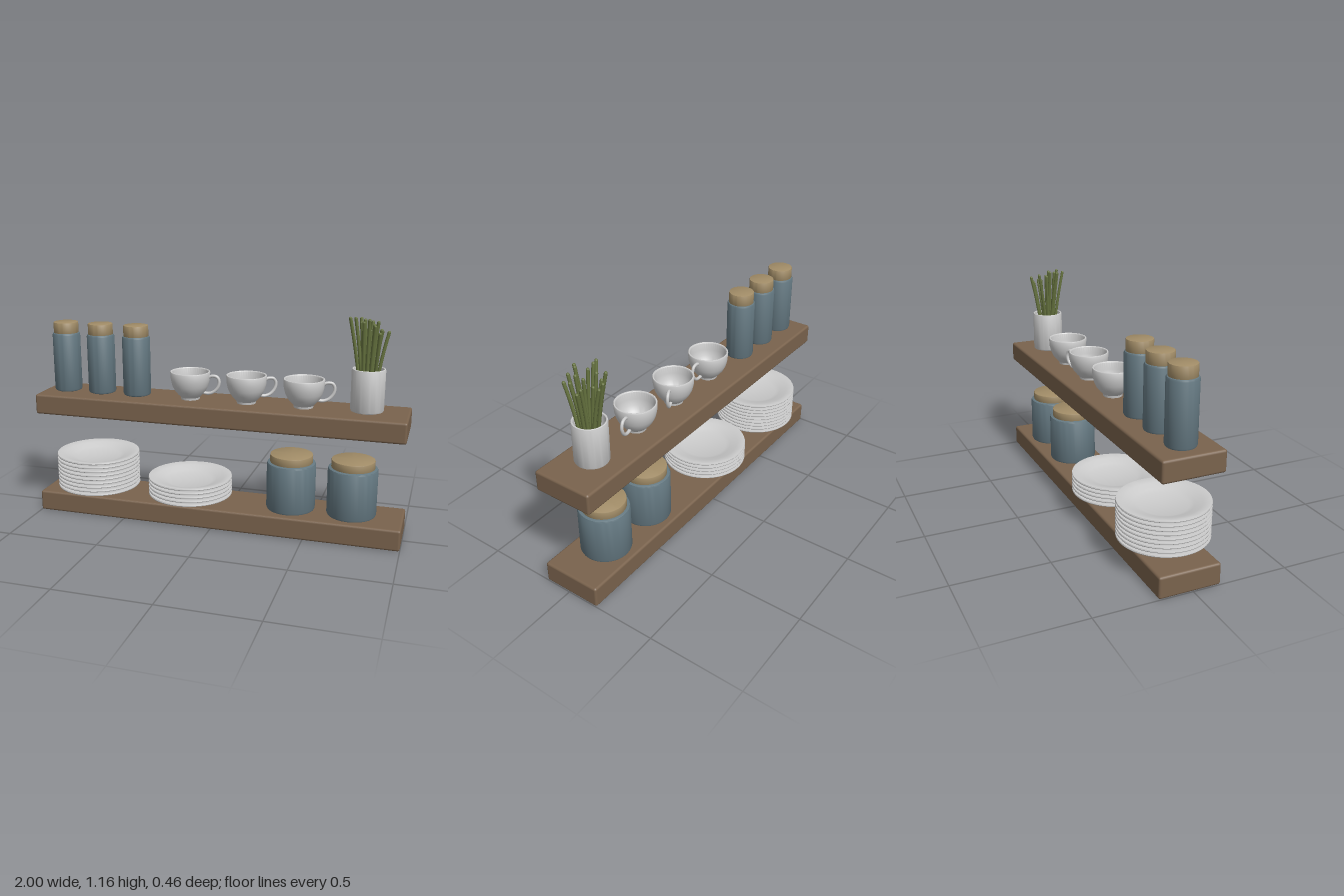
import * as THREE from 'three';
import { toCreasedNormals } from 'three/addons/utils/BufferGeometryUtils.js';
import { RoundedBoxGeometry } from 'three/addons/geometries/RoundedBoxGeometry.js';

const material = (color) => new THREE.MeshStandardMaterial({ color });
const grey = material(0xcccccc);
const wood = material(0x7a634d);
const glaze = material(0x647881);
const cork = material(0xa18c67);
const green = material(0x66733f);

const LOWER = 0.113, UPPER = 0.675, MID_Z = -0.015;

function addMesh(parent, name, geometry, mat, x = 0, y = 0, z = 0) {
  const mesh = new THREE.Mesh(geometry, mat);
  mesh.name = name;
  mesh.position.set(x, y, z);
  parent.add(mesh);
  return mesh;
}

// Turned shape from [radius, height] pairs, listed from the bottom centre outwards and up
function turned(profile, segments = 48) {
  const points = profile.map(([r, y]) => new THREE.Vector2(r, y));
  return toCreasedNormals(new THREE.LatheGeometry(points, segments), 0.6);
}

// Solid cylinder with softened edges
function softCylinder(r, h, b) {
  return turned([[0, 0], [r - b, 0], [r - b * 0.3, b * 0.3], [r, b],
    [r, h - b], [r - b * 0.3, h - b * 0.3], [r - b, h], [0, h]]);
}

function addJar(root, x, y, radius, height, lidRadius, lidHeight, z) {
  const jar = new THREE.Group();
  jar.name = 'jar';
  jar.position.set(x, y, z);
  addMesh(jar, 'jarBody', softCylinder(radius, height, 0.012), glaze);
  addMesh(jar, 'jarLid', softCylinder(lidRadius, lidHeight + 0.01, 0.004), cork, 0, height - 0.01);
  root.add(jar);
}

function addPlates(root, x, count) {
  const stack = new THREE.Group();
  stack.name = 'plateStack';
  stack.position.set(x, LOWER, 0);
  const plate = turned([[0, 0], [0.115, 0], [0.13, 0.005], [0.19, 0.026], [0.228, 0.034], [0.23, 0.038],
    [0.228, 0.044], [0.222, 0.045], [0.185, 0.037], [0.145, 0.022], [0.12, 0.014], [0, 0.012]], 56);
  for (let i = 0; i < count; i++) addMesh(stack, 'plate', plate, grey, 0, i * 0.0222, 0);
  // Spread the stack evenly up to its full height
  const pitch = 0.0222;
  stack.userData.height = pitch * (count - 1) + 0.045;
  root.add(stack);
}

function addCup(root, x, angle) {
  const cup = new THREE.Group();
  cup.name = 'cup';
  cup.position.set(x, UPPER, MID_Z);
  cup.rotation.y = angle;
  const bowl = turned([[0, 0.004], [0.042, 0.004], [0.045, 0], [0.05, 0], [0.052, 0.012], [0.066, 0.026],
    [0.084, 0.048], [0.097, 0.075], [0.104, 0.105], [0.107, 0.146], [0.105, 0.15], [0.099, 0.15],
    [0.096, 0.146], [0.094, 0.108], [0.086, 0.077], [0.072, 0.05], [0.052, 0.03], [0.03, 0.02], [0, 0.018]]);
  addMesh(cup, 'cupBowl', bowl, grey);
  const loop = new THREE.CatmullRomCurve3([[0.097, 0.12], [0.12, 0.129], [0.147, 0.124], [0.158, 0.1],
    [0.15, 0.068], [0.128, 0.044], [0.1, 0.034], [0.07, 0.037]].map(([px, py]) => new THREE.Vector3(px, py, 0)));
  addMesh(cup, 'cupHandle', new THREE.TubeGeometry(loop, 32, 0.0085, 10), grey);
  root.add(cup);
}

function addPlant(root) {
  const plant = new THREE.Group();
  plant.name = 'pottedStems';
  plant.position.set(0.785, UPPER + 0.005, MID_Z);
  addMesh(plant, 'pot', turned([[0, 0], [0.075, 0], [0.082, 0.003], [0.085, 0.01], [0.085, 0.212], [0.083, 0.218],
    [0.079, 0.22], [0.075, 0.218], [0.073, 0.21], [0.073, 0.02], [0, 0.018]]), grey);
  // Stems fan out from the pot at golden-angle steps
  const count = 18;
  for (let i = 0; i < count; i++) {
    const a = i * 2.39996, spread = Math.sqrt((i + 0.5) / count);
    const lean = a + 0.35 * Math.sin(i * 1.7);
    const at = (angle, r, y) => new THREE.Vector3(Math.cos(angle) * r, y, Math.sin(angle) * r);
    const tip = at(lean, 0.104 * spread, 0.435 + 0.035 * Math.sin(i * 2.3));
    const path = new THREE.QuadraticBezierCurve3(at(a, 0.035 * spread, 0.02), at(a, 0.05 * spread, 0.22), tip);
    addMesh(plant, 'stem', new THREE.TubeGeometry(path, 8, 0.0085, 8), green);
    addMesh(plant, 'stemTip', new THREE.SphereGeometry(0.0085, 8, 6), green, tip.x, tip.y, tip.z);
  }
  root.add(plant);
}

export function createModel() {
  const root = new THREE.Group();
  root.name = 'kitchenShelves';

  // Two floating boards
  addMesh(root, 'lowerShelf', new RoundedBoxGeometry(2, LOWER, 0.32, 2, 0.012), wood, 0, LOWER / 2, MID_Z);
  addMesh(root, 'upperShelf', new RoundedBoxGeometry(2, 0.11, 0.32, 2, 0.012), wood, 0, UPPER - 0.055, MID_Z);

  // Lower shelf: plates and wide jars
  addPlates(root, -0.7, 9);
  addPlates(root, -0.155, 5);
  for (const x of [0.405, 0.73]) addJar(root, x, LOWER, 0.13, 0.262, 0.113, 0.042, MID_Z);

  // Upper shelf: tall jars, cups and a pot of stems
  for (const x of [-0.875, -0.67, -0.463]) addJar(root, x, UPPER, 0.075, 0.325, 0.067, 0.057, -0.02);
  [[-0.155, 0.07], [0.155, 0.45], [0.46, 0.25]].forEach(([x, angle]) => addCup(root, x, angle));
  addPlant(root);
  return root;
}
